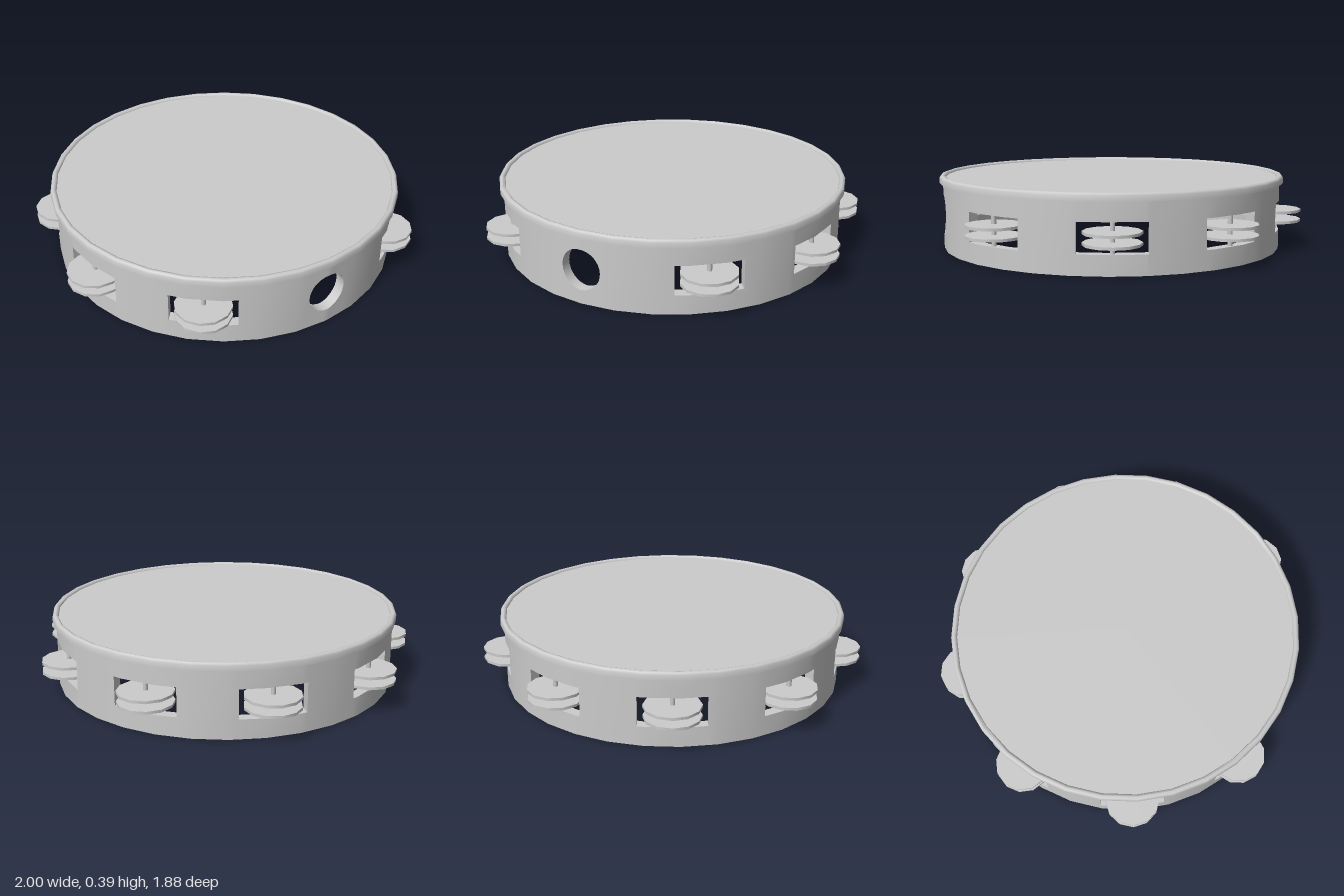
import * as THREE from 'three';
import { toCreasedNormals } from 'three/addons/utils/BufferGeometryUtils.js';

const DEG = Math.PI / 180;
const SIDES = 32;
const STEP = 360 / SIDES;
const OUTER = 0.9, INNER = 0.845, HEIGHT = 0.35;
const SLOT_HALF = 0.167, SLOT_LOW = 0.1, SLOT_HIGH = 0.25;
const HOLE_Y = 0.177, HOLE_R = 0.105;
const JINGLE_ANGLES = [40, 80, 120, 160, 200, 240, 280, 320];

// Point on a 32-sided ring, angle in degrees from +z towards +x
function ringPoint(radius, angle, y) {
  const local = (((angle % STEP) + STEP) % STEP) - STEP / 2;
  const r = radius * Math.cos(STEP / 2 * DEG) / Math.cos(local * DEG);
  return [r * Math.sin(angle * DEG), y, r * Math.cos(angle * DEG)];
}

// Columns of the wall: where each stands and which height range is cut away
function wallColumns() {
  const columns = [];
  const add = (centre, offset, low, high) => columns.push({
    out: centre + Math.asin(offset / OUTER) / DEG,
    inn: centre + Math.asin(offset / INNER) / DEG,
    low, high,
  });
  const slotHalfAngle = Math.asin(SLOT_HALF / OUTER) / DEG;
  for (let i = -1; i < SIDES - 1; i++) {
    const angle = i * STEP;
    if (i === 0) continue; // inside the thumb hole
    const open = JINGLE_ANGLES.some((a) => Math.abs(a - angle) < slotHalfAngle);
    add(angle, 0, open ? SLOT_LOW : HOLE_Y, open ? SLOT_HIGH : HOLE_Y);
  }
  for (const a of JINGLE_ANGLES) {
    add(a, -SLOT_HALF, HOLE_Y, HOLE_Y);
    add(a, -SLOT_HALF, SLOT_LOW, SLOT_HIGH);
    add(a, SLOT_HALF, SLOT_LOW, SLOT_HIGH);
    add(a, SLOT_HALF, HOLE_Y, HOLE_Y);
  }
  const n = 16;
  for (let i = 0; i <= n; i++) {
    const t = Math.PI * i / n;
    const h = i === 0 || i === n ? 0 : HOLE_R * Math.sin(t);
    add(0, -HOLE_R * Math.cos(t), HOLE_Y - h, HOLE_Y + h);
  }
  return columns.sort((a, b) => (a.out + a.inn) - (b.out + b.inn));
}

// Wall joined from column to column, as a band below and a band above the cuts
function wallGeometry() {
  const columns = wallColumns();
  const positions = [];
  const triangle = (...corners) => {
    const [a, b, c] = corners.map((p) => new THREE.Vector3(...p));
    const area = b.clone().sub(a).cross(c.clone().sub(a)).length();
    if (area > 1e-7) corners.forEach((p) => positions.push(...p));
  };
  const section = (c, y0, y1) => [
    ringPoint(OUTER, c.out, y0), ringPoint(OUTER, c.out, y1),
    ringPoint(INNER, c.inn, y1), ringPoint(INNER, c.inn, y0),
  ];
  columns.forEach((a, i) => {
    const b = columns[(i + 1) % columns.length];
    const solid = a.low === a.high && b.low === b.high;
    const bands = [
      [section(a, 0, a.low), section(b, 0, b.low), 1],
      [section(a, a.high, HEIGHT), section(b, b.high, HEIGHT), 3],
    ];
    for (const [p, q, cutEdge] of bands) {
      for (let j = 0; j < 4; j++) {
        if (solid && j === cutEdge) continue;
        const k = (j + 1) % 4;
        triangle(p[j], q[j], q[k]);
        triangle(p[j], q[k], p[k]);
      }
    }
  });
  const geometry = new THREE.BufferGeometry();
  geometry.setAttribute('position', new THREE.Float32BufferAttribute(positions, 3));
  return toCreasedNormals(geometry, 0.5);
}

export function createModel() {
  const model = new THREE.Group();
  model.name = 'tambourine';
  const material = new THREE.MeshStandardMaterial({ color: 0xcccccc });
  const addMesh = (parent, name, geometry, y = 0) => {
    const mesh = new THREE.Mesh(geometry, material);
    mesh.name = name;
    mesh.position.y = y;
    parent.add(mesh);
    return mesh;
  };

  const body = new THREE.Group();
  body.name = 'body';
  body.position.z = 0.02;
  model.add(body);

  // Wooden frame with jingle slots and thumb hole
  addMesh(body, 'frame', wallGeometry());

  // Drum skin
  addMesh(body, 'skin', new THREE.CylinderGeometry(0.893, 0.893, 0.026, SIDES), 0.359);

  // Rounded hoop around the skin
  const hoopProfile = [
    [0.885, 0.345], [0.918, 0.345], [0.918, 0.372], [0.913, 0.382],
    [0.902, 0.386], [0.891, 0.382], [0.886, 0.37], [0.885, 0.345],
  ].map(([x, y]) => new THREE.Vector2(x, y));
  addMesh(body, 'hoop', toCreasedNormals(new THREE.LatheGeometry(hoopProfile, SIDES), 0.9));

  // Pairs of jingles, each on a pin
  const discGeometry = new THREE.CylinderGeometry(0.14, 0.14, 0.014, 12);
  const pinGeometry = new THREE.CylinderGeometry(0.012, 0.012, 0.16, 8);
  for (const angle of JINGLE_ANGLES) {
    const jingle = new THREE.Group();
    jingle.name = 'jinglePair';
    jingle.position.set(0.873 * Math.sin(angle * DEG), 0, 0.873 * Math.cos(angle * DEG));
    jingle.rotation.y = angle * DEG;
    addMesh(jingle, 'lowerJingle', discGeometry, 0.148);
    addMesh(jingle, 'upperJingle', discGeometry, 0.2);
    addMesh(jingle, 'pin', pinGeometry, 0.175);
    body.add(jingle);
  }
  return model;
}
